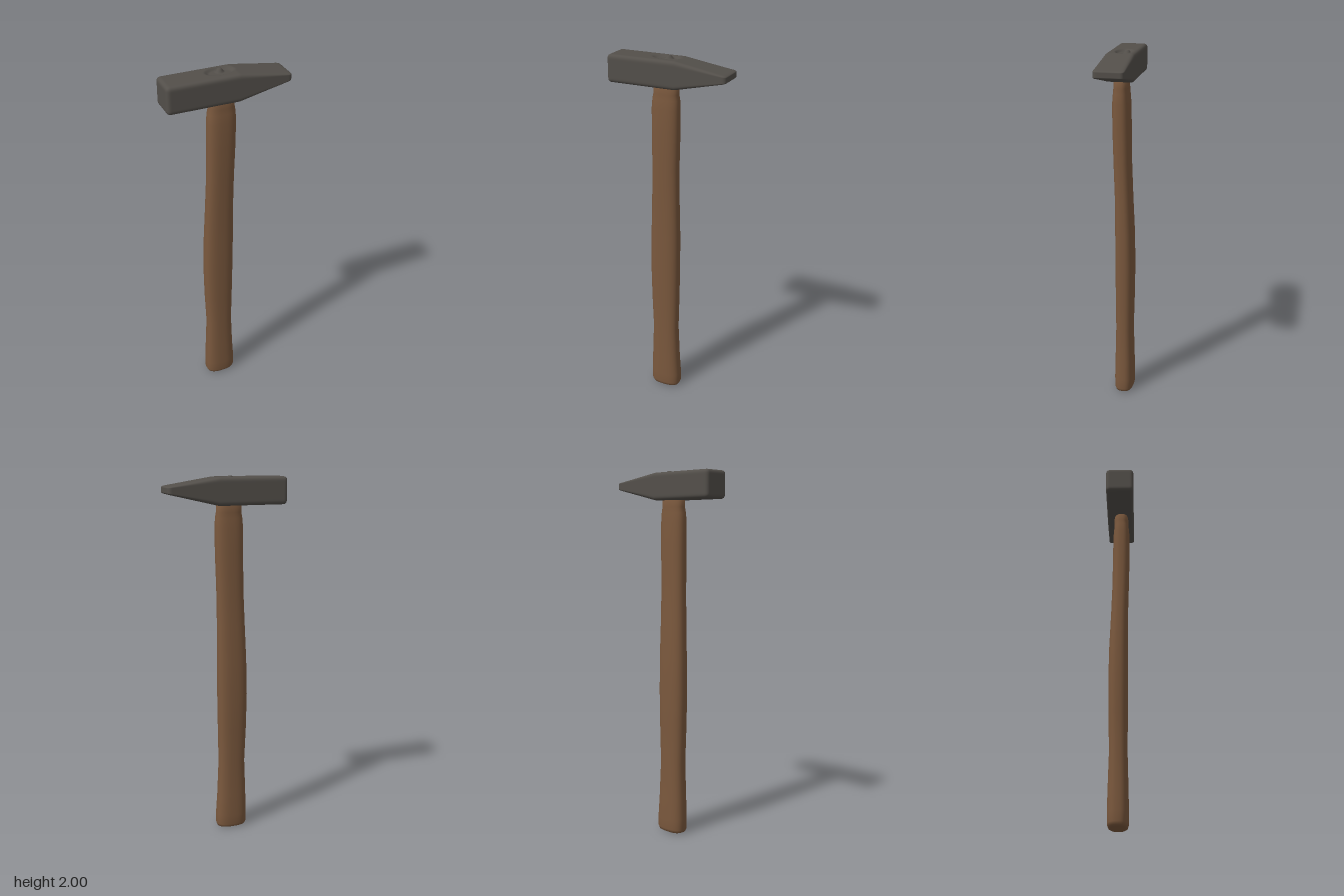
import * as THREE from 'three';
import { mergeVertices } from 'three/addons/utils/BufferGeometryUtils.js';

const { clamp, smoothstep, lerp } = THREE.MathUtils;

// Steel head: rounded block, tapered to a wedge at +x, with a dented eye on top
function headGeometry() {
  const half = new THREE.Vector3(0.33, 0.073, 0.078), r = 0.02;
  let geo = new THREE.BoxGeometry(half.x * 2, half.y * 2, half.z * 2, 110, 20, 36);
  geo.deleteAttribute('uv');
  geo.deleteAttribute('normal');
  geo = mergeVertices(geo, 1e-5);
  const inner = half.clone().subScalar(r), p = new THREE.Vector3(), c = new THREE.Vector3();
  const pos = geo.attributes.position;
  for (let i = 0; i < pos.count; i++) {
    p.fromBufferAttribute(pos, i);
    // round the edges
    c.copy(p).clamp(inner.clone().negate(), inner);
    p.sub(c).setLength(p.lengthSq() > 0 ? r : 0).add(c);
    const onTop = p.y > half.y - 0.002;
    // wedge taper
    const t = clamp((p.x - 0.05) / 0.28, 0, 1);
    p.y = p.y * lerp(1, 0.25, t) + 1.92 + 0.01 * t;
    // oval recess and the small wedge stud in it
    if (onTop) {
      const d = Math.hypot((p.x + 0.025) / 0.08, (p.z + 0.008) / 0.047);
      const stud = Math.hypot(p.x + 0.02, p.z + 0.024);
      p.y -= 0.012 * (1 - smoothstep(d, 0.7, 1.05));
      p.y += 0.019 * (1 - smoothstep(stud, 0.008, 0.024));
    }
    pos.setXYZ(i, p.x, p.y, p.z);
  }
  geo.computeVertexNormals();
  return geo;
}

// Handle cross-sections: y, min x, max x, min z, max z
const SECTIONS = [
  [0.000, -0.100, 0.035, -0.052, 0.025],
  [0.006, -0.114, 0.048, -0.063, 0.036],
  [0.022, -0.121, 0.054, -0.069, 0.041],
  [0.080, -0.121, 0.054, -0.070, 0.042],
  [0.200, -0.118, 0.046, -0.067, 0.040],
  [0.400, -0.111, 0.038, -0.061, 0.036],
  [0.600, -0.119, 0.042, -0.065, 0.038],
  [0.800, -0.123, 0.045, -0.067, 0.040],
  [1.000, -0.119, 0.046, -0.063, 0.040],
  [1.200, -0.111, 0.044, -0.054, 0.041],
  [1.400, -0.104, 0.045, -0.047, 0.047],
  [1.600, -0.103, 0.051, -0.045, 0.052],
  [1.730, -0.102, 0.052, -0.042, 0.052],
  [1.780, -0.098, 0.050, -0.038, 0.048],
  [1.810, -0.092, 0.045, -0.036, 0.045],
  [1.880, -0.092, 0.045, -0.036, 0.045],
];

// Wooden handle lofted through rounded-oval sections and capped at both ends
function handleGeometry() {
  const n = 40, verts = [], index = [], last = SECTIONS.length - 1;
  const soften = v => Math.sign(v) * Math.abs(v) ** 0.78;
  for (const [y, x0, x1, z0, z1] of SECTIONS) {
    for (let i = 0; i < n; i++) {
      const a = (i / n) * Math.PI * 2;
      verts.push((x0 + x1) / 2 + (x1 - x0) / 2 * soften(Math.cos(a)), y,
        (z0 + z1) / 2 + (z1 - z0) / 2 * soften(Math.sin(a)));
    }
  }
  for (const k of [0, last]) {
    const [y, x0, x1, z0, z1] = SECTIONS[k];
    verts.push((x0 + x1) / 2, y, (z0 + z1) / 2);
  }
  const bottom = SECTIONS.length * n, top = bottom + 1;
  for (let i = 0; i < n; i++) {
    const j = (i + 1) % n;
    for (let k = 0; k < last; k++) {
      const a = k * n + i, b = k * n + j;
      index.push(a, a + n, b, b, a + n, b + n);
    }
    index.push(bottom, i, j, top, last * n + j, last * n + i);
  }
  const geo = new THREE.BufferGeometry();
  geo.setAttribute('position', new THREE.Float32BufferAttribute(verts, 3));
  geo.setIndex(index);
  geo.computeVertexNormals();
  return geo;
}

export function createModel() {
  const steel = new THREE.MeshStandardMaterial({ color: 0x534f4a });
  steel.name = 'dark steel';
  const wood = new THREE.MeshStandardMaterial({ color: 0x7a583d });
  wood.name = 'brown wood';

  const model = new THREE.Group();
  model.name = 'hammer';
  const head = new THREE.Mesh(headGeometry(), steel);
  head.name = 'head';
  const handle = new THREE.Mesh(handleGeometry(), wood);
  handle.name = 'handle';
  model.add(head, handle);
  return model;
}
